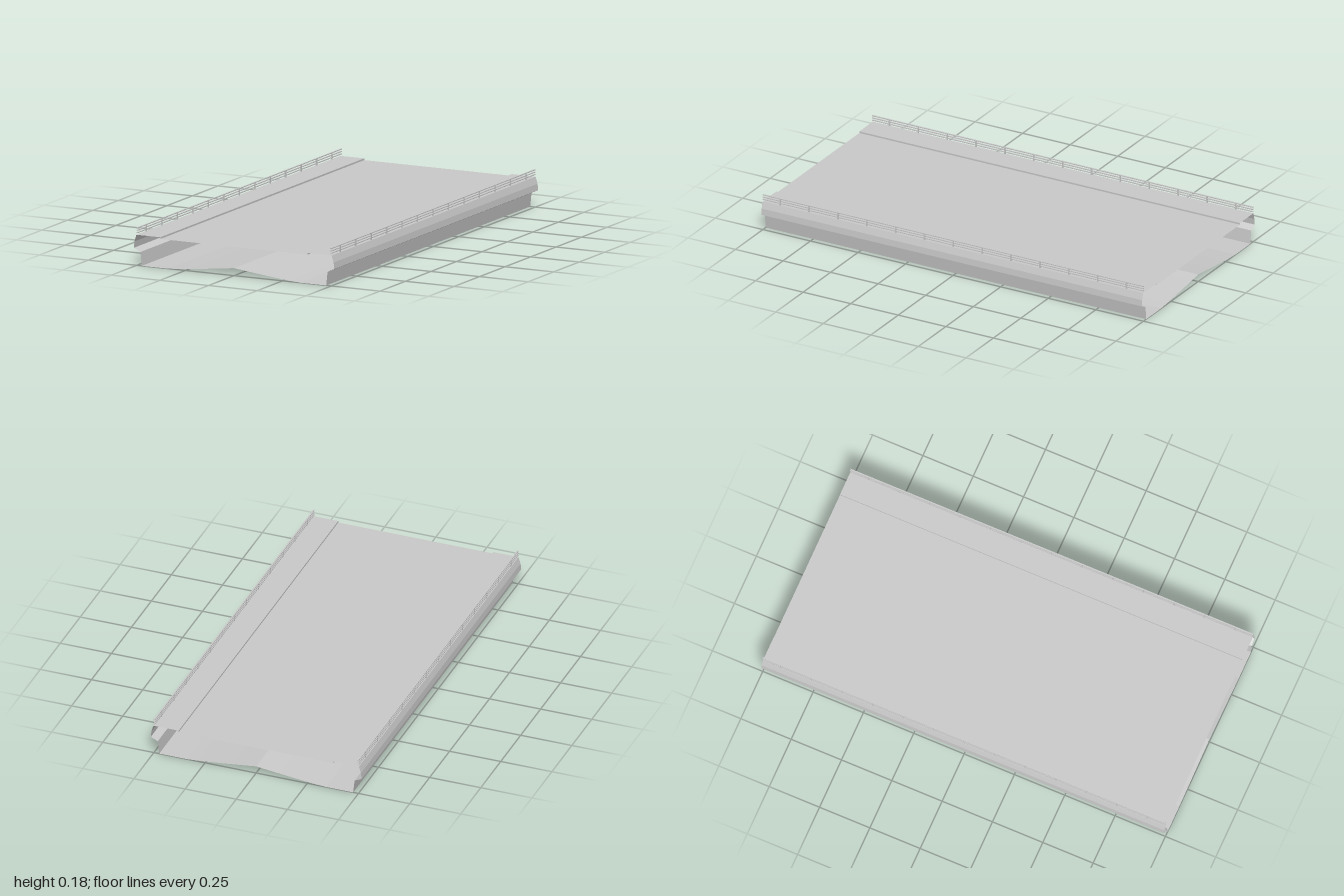
import * as THREE from 'three';

const LENGTH = 2;
const shellMat = new THREE.MeshStandardMaterial({ color: 0xcccccc, side: THREE.DoubleSide });
const railMat = new THREE.MeshStandardMaterial({ color: 0xcccccc });

// Open sheet swept along z from a list of [x, y] points, creased at every point.
function sheet(name, points) {
  const pos = [];
  const h = LENGTH / 2;
  for (let i = 0; i < points.length - 1; i++) {
    const [ax, ay] = points[i], [bx, by] = points[i + 1];
    pos.push(ax, ay, h, ax, ay, -h, bx, by, -h);
    pos.push(ax, ay, h, bx, by, -h, bx, by, h);
  }
  const geo = new THREE.BufferGeometry();
  geo.setAttribute('position', new THREE.Float32BufferAttribute(pos, 3));
  geo.computeVertexNormals();
  const mesh = new THREE.Mesh(geo, shellMat);
  mesh.name = name;
  return mesh;
}

function box(name, w, h, d, x, y, z) {
  const mesh = new THREE.Mesh(new THREE.BoxGeometry(w, h, d), railMat);
  mesh.name = name;
  mesh.position.set(x, y, z);
  return mesh;
}

// Railing: evenly spaced posts and three long bars.
function railing(name, x) {
  const group = new THREE.Group();
  group.name = name;
  const posts = 13, end = 0.91;
  for (let i = 0; i < posts; i++) {
    const z = end - (2 * end * i) / (posts - 1);
    group.add(box('railPost', 0.005, 0.034, 0.006, x, 0.158, z));
  }
  for (const y of [0.152, 0.163, 0.174]) {
    group.add(box('railBar', 0.007, 0.004, LENGTH, x, y, 0));
  }
  return group;
}

export function createModel() {
  const model = new THREE.Group();
  model.name = 'bridgeSection';

  // Roadway
  const curbX = 0.379, roadY = 0.134, walkY = 0.142;
  model.add(sheet('roadway', [[curbX, roadY], [-curbX, roadY]]));

  // Underside: flat at the edges, swelling up to the middle
  const under = [[-0.474, 0]];
  for (let i = -6; i <= 6; i++) {
    const t = i / 6;
    const y = 0.035 * Math.pow(1 - Math.abs(t), 1.2);
    under.push([0.34 * t, y]);
  }
  under.push([0.474, 0]);
  model.add(sheet('underside', under));

  // Side wall, edge lip, footway and kerb, with a railing on each side
  const edge = [
    [0.474, 0], [0.481, 0.064], [0.515, 0.08], [0.512, 0.11],
    [0.502, walkY], [curbX, walkY], [curbX, roadY],
  ];
  for (const [side, s] of [['left', 1], ['right', -1]]) {
    const pts = edge.map(([x, y]) => [s * x, y]);
    if (s < 0) pts.reverse();
    model.add(sheet(side + 'EdgeAndFootway', pts));
    model.add(railing(side + 'Railing', s * 0.498));
  }
  return model;
}
